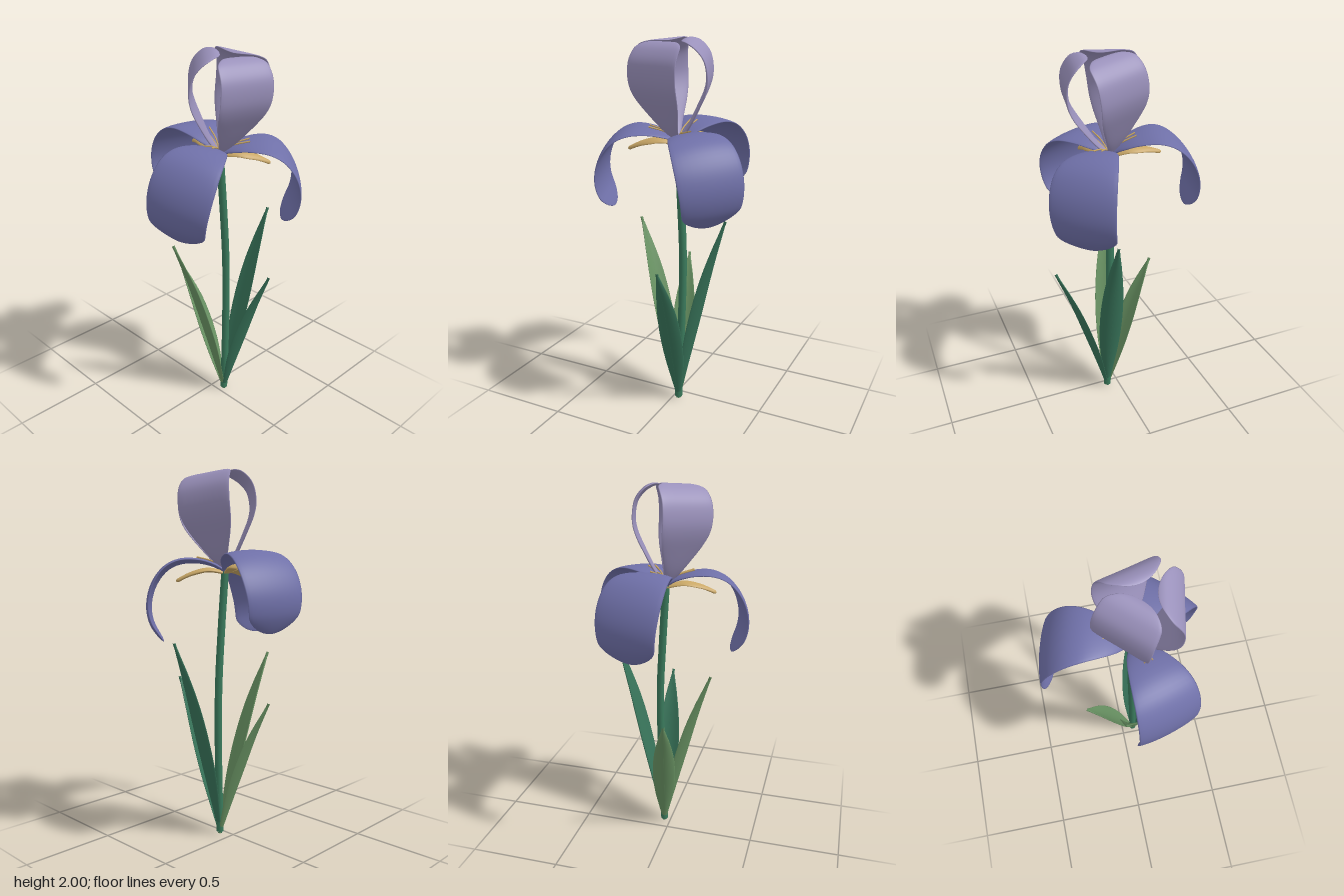
import * as THREE from 'three';

const mat = (name, color) => {
  const m = new THREE.MeshStandardMaterial({ color });
  m.name = name;
  return m;
};

const v2 = ([r, y]) => new THREE.Vector2(r, y);

// Solid blade swept along a profile of [outward, up] points with a thin oval
// section. Half-widths are evenly spaced from root to tip, the last part of the
// length (round) closes in an arc, and cup lifts the edges to the upper side.
function bladeGeometry(profile, halfWidths, { cup = 0, thick = 0.01, round = 0.1 }) {
  const rows = 44, ring = 24;
  const path = new THREE.SplineCurve(profile.map(v2));
  const width = new THREE.SplineCurve(halfWidths.map((w, i) => v2([i, w])));
  const pos = [], index = [];
  for (let i = 0; i <= rows; i++) {
    const t = 1 - (1 - i / rows) ** 1.7;
    const p = path.getPointAt(t), d = path.getTangentAt(t);
    const k = Math.max(0, (t - 1 + round) / round);
    const taper = Math.max(0.02, Math.sqrt(Math.max(0, 1 - k * k)));
    const w = width.getPoint(t).y * taper, h = thick * taper;
    for (let j = 0; j < ring; j++) {
      const a = (j / ring) * Math.PI * 2, u = Math.cos(a);
      const lift = cup * w * u * u + h * Math.sin(a);
      pos.push(p.x - d.y * lift, p.y + d.x * lift, u * w);
    }
  }
  for (let i = 0; i < rows; i++) {
    for (let j = 0; j < ring; j++) {
      const a = i * ring + j, b = i * ring + ((j + 1) % ring);
      index.push(a, a + ring, b, b, a + ring, b + ring);
    }
  }
  const g = new THREE.BufferGeometry();
  g.setAttribute('position', new THREE.Float32BufferAttribute(pos, 3));
  g.setIndex(index);
  g.computeVertexNormals();
  return g;
}

const tube = (points, radius, sides = 8) => new THREE.TubeGeometry(
  new THREE.CatmullRomCurve3(points.map((p) => new THREE.Vector3(...p))), 32, radius, sides);

export function createModel() {
  const root = new THREE.Group();
  root.name = 'flower';

  const fallMat = mat('violet blue', 0x6f70a8);
  const standardMat = mat('pale lavender', 0x9a91bb);
  const goldMat = mat('gold', 0xc9a766);
  const stemMat = mat('stem green', 0x3a7a5c);
  const darkLeafMat = mat('deep green', 0x38745a);
  const lightLeafMat = mat('light green', 0x6a9464);

  const add = (parent, name, geometry, material, degrees = 0) => {
    const m = new THREE.Mesh(geometry, material);
    m.name = name;
    m.rotation.y = -THREE.MathUtils.degToRad(degrees);
    parent.add(m);
    return m;
  };

  // Gently bowed stem with a closed foot
  add(root, 'stem', tube([[0.035, 0.02, 0.07], [0.05, 0.45, 0.065], [0.055, 0.85, 0.057],
    [0.037, 1.2, 0.05], [0.018, 1.485, 0.042]], 0.021, 12), stemMat);
  const foot = add(root, 'stemFoot', new THREE.CylinderGeometry(0.021, 0.021, 0.01, 12), stemMat);
  foot.position.set(0.035, 0.022, 0.07);

  // Four sword-shaped leaves with midribs: direction in degrees, reach, height
  const leafWidths = [0.012, 0.032, 0.052, 0.062, 0.062, 0.052, 0.032, 0.008];
  const leaves = [
    [9, 0.285, 1.1, darkLeafMat], [200, 0.295, 1.01, lightLeafMat],
    [85, 0.293, 0.86, darkLeafMat], [256, 0.297, 0.775, lightLeafMat],
  ];
  for (const [degrees, reach, height, material] of leaves) {
    const profile = [[0, 0.005], [0.22 * reach, 0.25 * height], [0.46 * reach, 0.5 * height],
      [0.72 * reach, 0.76 * height], [reach, height]];
    const leaf = new THREE.Group();
    leaf.name = 'leaf';
    leaf.position.set(0.035, 0, 0.07);
    root.add(leaf);
    add(leaf, 'leafBlade', bladeGeometry(profile, leafWidths, { cup: 0.33, thick: 0.007, round: 0.03 }),
      material, degrees);
    const rib = [...profile.map(([r, y]) => [r, y, 0]), [reach * 1.02, height + 0.014, 0]];
    add(leaf, 'midrib', tube(rib, 0.0075), material, degrees);
  }

  // Blossom, leaning slightly forward
  const blossom = new THREE.Group();
  blossom.name = 'blossom';
  blossom.position.set(0.018, 1.48, 0.042);
  blossom.rotation.x = 0.12;
  root.add(blossom);

  const fall = bladeGeometry(
    [[0, 0], [0.06, 0.04], [0.14, 0.068], [0.24, 0.073], [0.325, 0.037],
      [0.392, -0.045], [0.424, -0.15], [0.413, -0.25], [0.36, -0.345]],
    [0.02, 0.08, 0.122, 0.152, 0.168, 0.172, 0.167, 0.155, 0.125],
    { cup: -0.05, thick: 0.01, round: 0.13 });
  const standard = bladeGeometry(
    [[0, 0], [0.06, 0.08], [0.115, 0.18], [0.158, 0.27], [0.173, 0.34],
      [0.163, 0.42], [0.125, 0.475], [0.08, 0.502], [0.045, 0.505]],
    [0.015, 0.045, 0.08, 0.115, 0.14, 0.149, 0.148, 0.14, 0.115],
    { cup: -0.05, thick: 0.01, round: 0.13 });
  const bract = bladeGeometry(
    [[0, -0.01], [0.09, 0.016], [0.18, 0.002], [0.265, -0.033]],
    [0.014, 0.036, 0.044, 0.028, 0.01],
    { cup: -0.25, thick: 0.01, round: 0.06 });

  for (let i = 0; i < 3; i++) {
    const fallAngle = 42 + i * 120;
    add(blossom, 'droopingPetal', fall, fallMat, fallAngle);
    add(blossom, 'uprightPetal', standard, standardMat, fallAngle + 60);
    add(blossom, 'bract', bract, goldMat, fallAngle);

    // Pairs of fine filaments lying over each drooping petal
    for (const side of [-1, 1]) {
      const points = [[0, 0.01, 0], [0.06, 0.056, 0.01 * side], [0.145, 0.086, 0.02 * side]];
      add(blossom, 'filament', tube(points, 0.004, 6), goldMat, fallAngle);
    }
  }
  add(blossom, 'heart', new THREE.SphereGeometry(0.02, 12, 8), goldMat);

  return root;
}
